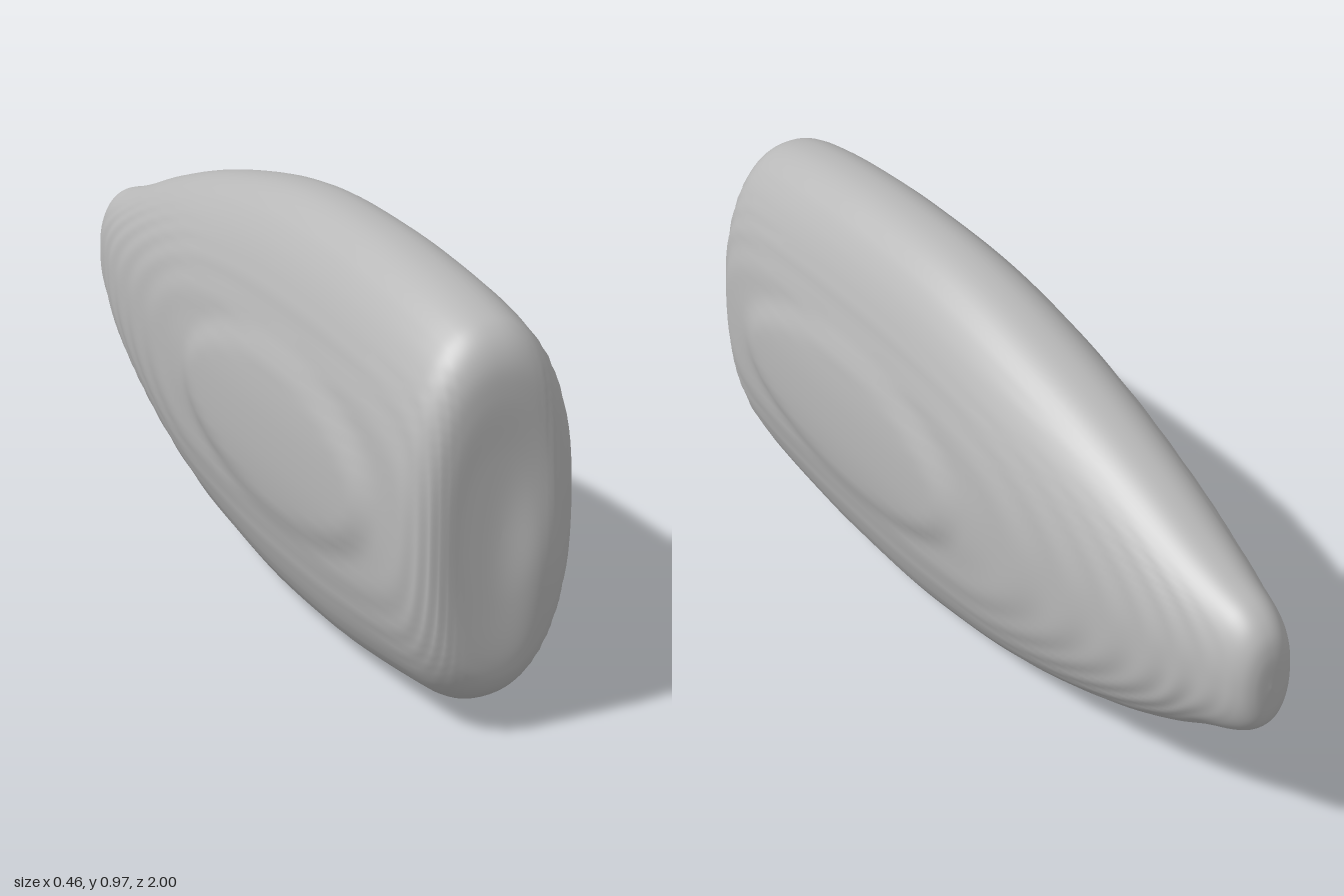
import * as THREE from 'three';

// Cross-sections from front to back: z, top, bottom, half width
const STATIONS = [
  [0.98, 0.47, 0.47, 0], [0.98, 0.64, 0.31, 0.08], [0.98, 0.77, 0.18, 0.13], [0.967, 0.845, 0.125, 0.165],
  [0.93, 0.895, 0.083, 0.192], [0.87, 0.92, 0.055, 0.204], [0.75, 0.943, 0.036, 0.211],
  [0.6, 0.96, 0.017, 0.213], [0.45, 0.97, 0.004, 0.213], [0.2, 0.97, 0.004, 0.213],
  [0, 0.948, 0.026, 0.213], [-0.2, 0.906, 0.06, 0.208], [-0.4, 0.852, 0.11, 0.19],
  [-0.6, 0.783, 0.178, 0.163], [-0.75, 0.722, 0.245, 0.137], [-0.85, 0.685, 0.3, 0.112],
  [-0.93, 0.657, 0.338, 0.09], [-0.975, 0.62, 0.37, 0.068], [-0.995, 0.57, 0.41, 0.04],
  [-1, 0.49, 0.49, 0],
];
const SIDES = 96, RINGS = 190;

const smooth = THREE.MathUtils.smoothstep;
const spow = (v, p) => Math.sign(v) * Math.abs(v) ** p;

function bodyGeometry() {
  const curve = (pick) => new THREE.CatmullRomCurve3(STATIONS.map(pick), false, 'catmullrom', 0.5);
  const outline = curve(([z, t, b]) => new THREE.Vector3(z, t, b));
  const widths = curve(([z, , , w]) => new THREE.Vector3(z, w, 0));
  const pos = [], index = [];
  for (let i = 0; i <= RINGS; i++) {
    const { x: z, y: top, z: bottom } = outline.getPoint(i / RINGS);
    const w = Math.max(0, widths.getPoint(i / RINGS).y);
    for (let j = 0; j < SIDES; j++) {
      const a = (j / SIDES) * Math.PI * 2;
      let x = w * spow(Math.cos(a), 0.9);
      const y = (top + bottom) / 2 + ((top - bottom) / 2) * spow(Math.sin(a), 0.9);
      // faint terraces that run round both broad sides
      x -= 0.0018 * Math.sin((Math.PI * 2 * x) / 0.02) * smooth(Math.abs(x), 0.06, 0.12);
      // raised oval plateau on each side
      const r = Math.hypot((z - 0.34) / 0.45, (y - 0.49) / 0.19);
      x += Math.sign(x) * 0.015 * (1 - smooth(r, 0.88, 1.12)) * smooth(Math.abs(x), 0.1, 0.18);
      // soft swelling low on the blunt front
      const bump = 0.02 * smooth(z, 0.9, 0.98) * Math.exp(-(((x - 0.08) / 0.06) ** 2) - ((y - 0.4) / 0.15) ** 2);
      pos.push(x, y, z + bump);
      if (i < RINGS) {
        const k = (j + 1) % SIDES, p = i * SIDES, q = p + SIDES;
        index.push(p + j, q + j, q + k, p + j, q + k, p + k);
      }
    }
  }
  const g = new THREE.BufferGeometry();
  g.setAttribute('position', new THREE.Float32BufferAttribute(pos, 3));
  g.setIndex(index);
  g.computeVertexNormals();
  return g;
}

export function createModel() {
  const group = new THREE.Group();
  group.name = 'taperedStone';
  const grey = new THREE.MeshStandardMaterial({ color: 0xb8b8b8 });
  grey.name = 'stone grey';
  const body = new THREE.Mesh(bodyGeometry(), grey);
  body.name = 'body';
  group.add(body);
  return group;
}
